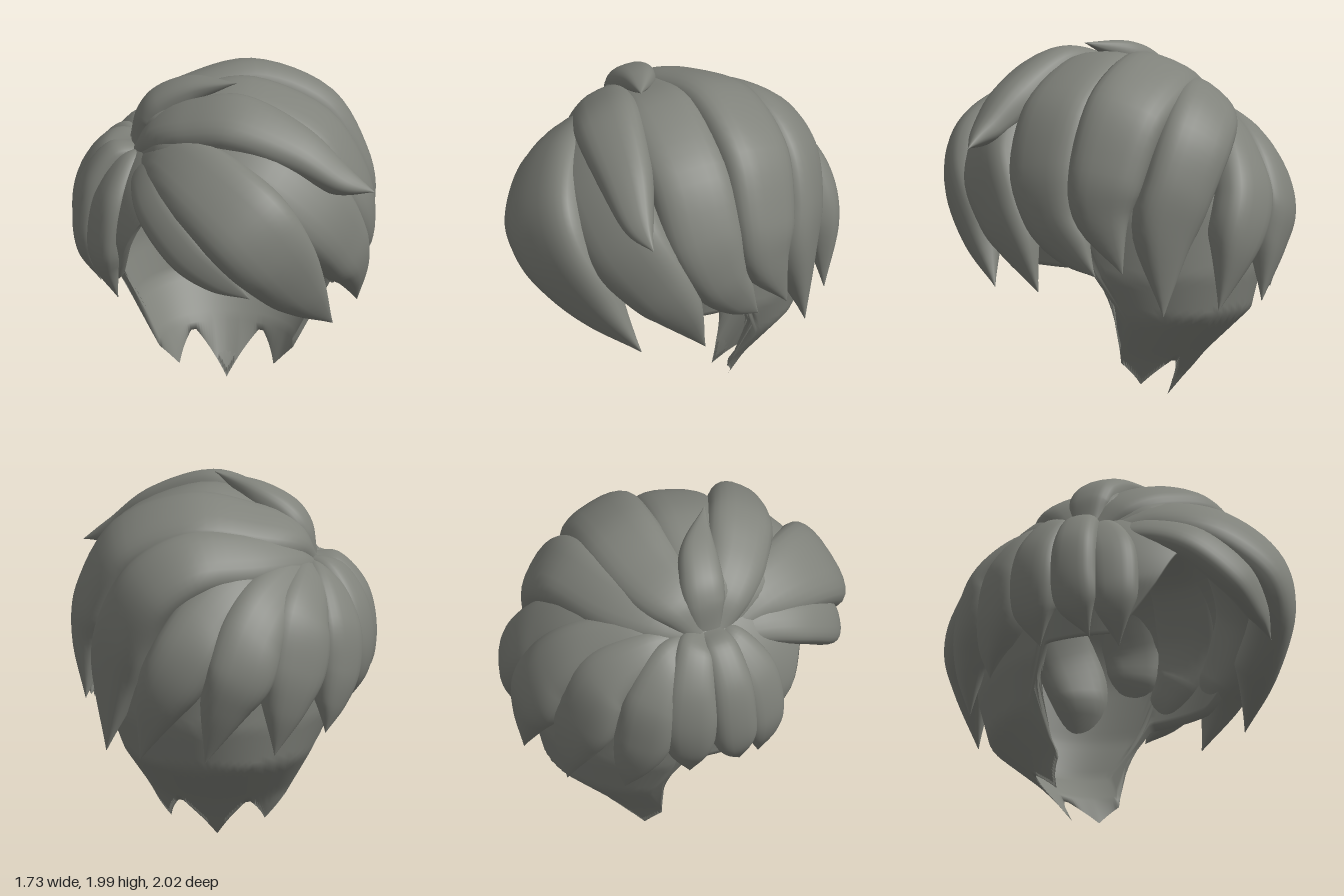
import * as THREE from 'three';

const hairMat = new THREE.MeshStandardMaterial({ color: 0x80827b, side: THREE.DoubleSide });
hairMat.name = 'hairGrey';

const CENTRE = new THREE.Vector3(-0.03, 1.1, 0);

// Grid of points (rows x cols) turned into a smooth mesh, closed around each row
function gridMesh(name, rows, cols, pointAt) {
  const pos = [], index = [];
  for (let i = 0; i <= rows; i++) {
    for (let j = 0; j < cols; j++) pos.push(...pointAt(i / rows, j / cols));
  }
  for (let i = 0; i < rows; i++) {
    for (let j = 0; j < cols; j++) {
      const k = (j + 1) % cols;
      const a = i * cols + j, b = i * cols + k, c = a + cols, d = b + cols;
      index.push(a, b, c, b, d, c);
    }
  }
  const geo = new THREE.BufferGeometry();
  geo.setAttribute('position', new THREE.Float32BufferAttribute(pos, 3));
  geo.setIndex(index);
  geo.computeVertexNormals();
  const mesh = new THREE.Mesh(geo, hairMat);
  mesh.name = name;
  return mesh;
}

// Slightly boxy circle component
const soft = s => Math.sign(s) * Math.abs(s) ** 0.78;

// Tapered lock: its crest follows points [x, y, z, halfWidth]
function lock(name, thick, pts) {
  const path = new THREE.CatmullRomCurve3(pts.map(p => new THREE.Vector3(p[0], p[1], p[2])), false, 'catmullrom', 0.5);
  const width = new THREE.CatmullRomCurve3(pts.map((p, i) => new THREE.Vector3(p[3], i, 0)), false, 'catmullrom', 0.5);
  return gridMesh(name, 40, 24, (u, v) => {
    const p = path.getPoint(u), tan = path.getTangent(u);
    const n = p.clone().sub(CENTRE);
    n.addScaledVector(tan, -n.dot(tan)).normalize();
    const side = new THREE.Vector3().crossVectors(n, tan).normalize();
    const w = Math.max(0.002, width.getPoint(u).x);
    const t = thick * Math.min(1, w / 0.16);
    const a = v * Math.PI * 2;
    return p.addScaledVector(side, soft(Math.cos(a)) * w)
      .addScaledVector(n, (soft(Math.sin(a)) - 1) * t).toArray();
  });
}

// Scalp shell profile below the widest level: [y, half width, centre z, depth]
const PROFILE = [[0, 0.3, -0.13, 0.17], [0.1, 0.33, -0.13, 0.24], [0.25, 0.4, -0.11, 0.39],
  [0.5, 0.54, -0.2, 0.57], [0.75, 0.66, -0.06, 0.77], [1.1, 0.71, 0, 0.83]];

function shellSection(y) {
  if (y >= 1.1) {
    const s = Math.sqrt(Math.max(0, 1 - ((y - 1.1) / 0.68) ** 2));
    return [0.71 * s, 0, 0.83 * s];
  }
  let i = 0;
  while (i < PROFILE.length - 2 && y > PROFILE[i + 1][0]) i++;
  const [a, b] = [PROFILE[i], PROFILE[i + 1]];
  const f = (y - a[0]) / (b[0] - a[0]);
  return [1, 2, 3].map(k => a[k] + (b[k] - a[k]) * f);
}

// Hem height by angle from the back: side cut-outs, open face, optional nape spikes
function hem(phi, spiked) {
  const a = Math.abs(phi), step = THREE.MathUtils.smoothstep;
  let y = 0.23 + 0.57 * step(a, 1.35, 1.46) + 0.53 * step(a, 1.95, 2.5);
  if (spiked) {
    for (const [c, d, w] of [[0, 0.23, 0.47], [0.95, 0.14, 0.4]]) {
      y -= d * Math.max(0, 1 - Math.abs(a - c) / w);
    }
  }
  return y;
}

// Double wall: down the outside to the spikes, then back up the inside
function scalp() {
  const top = 1.78;
  return gridMesh('scalpAndNape', 100, 160, (u, v) => {
    const phi = (v - 0.5) * Math.PI * 2;
    const outer = u <= 0.5, s = outer ? u * 2 : 2 - u * 2;
    const ease = s < 0.4 ? s * s / 0.64 : 0.25 + (s - 0.4) * 1.25;
    const y = top - (top - hem(phi, outer)) * ease;
    const [rx, zc, rz] = shellSection(y);
    const k = outer ? 1 : 0.94;
    return [rx * k * Math.sin(phi), outer ? y : y - 0.04 * (1 - s), zc - rz * k * Math.cos(phi)];
  });
}

export function createModel() {
  const group = new THREE.Group();
  group.name = 'hair';
  group.add(scalp());

  // Fringe swept across the forehead
  group.add(
    lock('shortFringe', 0.1, [[-0.5, 1.52, 0.1, 0.08], [-0.47, 1.52, 0.42, 0.12], [-0.4, 1.42, 0.7, 0.13],
      [-0.21, 1.23, 0.9, 0.13], [-0.01, 1.07, 0.93, 0.09], [0.16, 0.95, 0.88, 0]]),
    lock('mainFringe', 0.13, [[-0.5, 1.54, 0.1, 0.1], [-0.36, 1.66, 0.42, 0.19], [-0.16, 1.63, 0.73, 0.24],
      [0.12, 1.45, 0.95, 0.27], [0.33, 1.2, 0.95, 0.25], [0.5, 0.9, 0.75, 0.17], [0.62, 0.65, 0.48, 0]]),
    lock('templeFringe', 0.13, [[-0.5, 1.56, 0.1, 0.1], [-0.34, 1.74, 0.3, 0.18], [-0.05, 1.77, 0.5, 0.23],
      [0.3, 1.66, 0.64, 0.26], [0.61, 1.38, 0.62, 0.25], [0.76, 1.1, 0.46, 0.21], [0.8, 0.9, 0.31, 0.14],
      [0.75, 0.66, 0.14, 0]]),
    lock('flyawayLock', 0.13, [[-0.51, 1.57, 0.07, 0.1], [-0.42, 1.74, 0.19, 0.16], [-0.22, 1.86, 0.33, 0.19],
      [0.08, 1.92, 0.45, 0.2], [0.45, 1.78, 0.53, 0.16], [0.7, 1.58, 0.56, 0.09], [0.86, 1.47, 0.53, 0]])
  );

  // Crown locks falling over the left side
  group.add(
    lock('crownSpike', 0.12, [[-0.53, 1.58, 0.03, 0.1], [-0.5, 1.75, 0.03, 0.13], [-0.4, 1.88, 0.04, 0.13],
      [-0.2, 1.97, 0.08, 0.1], [0.07, 1.99, 0.19, 0]]),
    lock('crownFrontLock', 0.13, [[-0.52, 1.58, 0.03, 0.1], [-0.43, 1.78, 0.05, 0.17], [-0.2, 1.88, 0.08, 0.2],
      [0.15, 1.94, 0.11, 0.23], [0.58, 1.75, 0.14, 0.24], [0.8, 1.4, 0.14, 0.23], [0.85, 1.1, 0.06, 0.18],
      [0.8, 0.9, -0.08, 0.12], [0.73, 0.77, -0.21, 0]]),
    lock('crownMiddleLock', 0.13, [[-0.53, 1.58, 0, 0.1], [-0.46, 1.76, -0.11, 0.17], [-0.24, 1.86, -0.24, 0.22],
      [0.15, 1.93, -0.34, 0.24], [0.58, 1.76, -0.34, 0.24], [0.79, 1.4, -0.3, 0.22], [0.82, 1.12, -0.29, 0.17],
      [0.74, 0.8, -0.39, 0]]),
    lock('crownBackLock', 0.13, [[-0.53, 1.57, -0.03, 0.1], [-0.45, 1.68, -0.26, 0.16], [-0.23, 1.73, -0.5, 0.19],
      [0.1, 1.74, -0.67, 0.21], [0.38, 1.58, -0.73, 0.22], [0.55, 1.3, -0.7, 0.21], [0.62, 1, -0.63, 0.18],
      [0.6, 0.55, -0.58, 0]])
  );

  // Back locks
  group.add(
    lock('backLeftLock', 0.13, [[-0.53, 1.56, -0.03, 0.08], [-0.41, 1.63, -0.35, 0.15], [-0.18, 1.59, -0.65, 0.18],
      [0.01, 1.42, -0.86, 0.19], [0.14, 1.2, -0.97, 0.2], [0.28, 0.93, -0.96, 0.16], [0.38, 0.57, -0.82, 0]]),
    lock('backMiddleLock', 0.13, [[-0.53, 1.55, -0.03, 0.08], [-0.49, 1.59, -0.35, 0.14], [-0.37, 1.5, -0.69, 0.18],
      [-0.28, 1.33, -0.89, 0.2], [-0.21, 1.1, -0.99, 0.2], [-0.11, 0.88, -0.98, 0.14], [0, 0.58, -0.9, 0]]),
    lock('backRightLock', 0.12, [[-0.53, 1.54, -0.03, 0.08], [-0.58, 1.54, -0.35, 0.14], [-0.57, 1.38, -0.65, 0.19],
      [-0.54, 1.1, -0.77, 0.2], [-0.47, 0.85, -0.8, 0.13], [-0.38, 0.6, -0.76, 0]])
  );

  // Right side locks, fanning from the parting
  group.add(
    lock('rightRearLock', 0.12, [[-0.53, 1.53, 0, 0.08], [-0.66, 1.52, -0.24, 0.12], [-0.77, 1.3, -0.4, 0.17],
      [-0.78, 1.03, -0.46, 0.17], [-0.72, 0.83, -0.5, 0.11], [-0.64, 0.67, -0.5, 0]]),
    lock('rightMiddleRearLock', 0.12, [[-0.5, 1.57, 0, 0.1], [-0.67, 1.56, -0.08, 0.12], [-0.81, 1.38, -0.15, 0.15],
      [-0.86, 1.15, -0.18, 0.17], [-0.83, 0.93, -0.17, 0.13], [-0.72, 0.76, -0.14, 0]]),
    lock('rightMiddleFrontLock', 0.12, [[-0.5, 1.57, 0.04, 0.1], [-0.66, 1.56, 0.07, 0.11], [-0.81, 1.38, 0.1, 0.13],
      [-0.86, 1.15, 0.11, 0.14], [-0.83, 0.93, 0.13, 0.12], [-0.7, 0.77, 0.16, 0]]),
    lock('rightFrontLock', 0.11, [[-0.5, 1.53, 0.07, 0.08], [-0.6, 1.52, 0.17, 0.11], [-0.71, 1.33, 0.3, 0.14],
      [-0.75, 1.08, 0.34, 0.14], [-0.72, 0.9, 0.33, 0.11], [-0.6, 0.72, 0.3, 0]])
  );
  return group;
}
